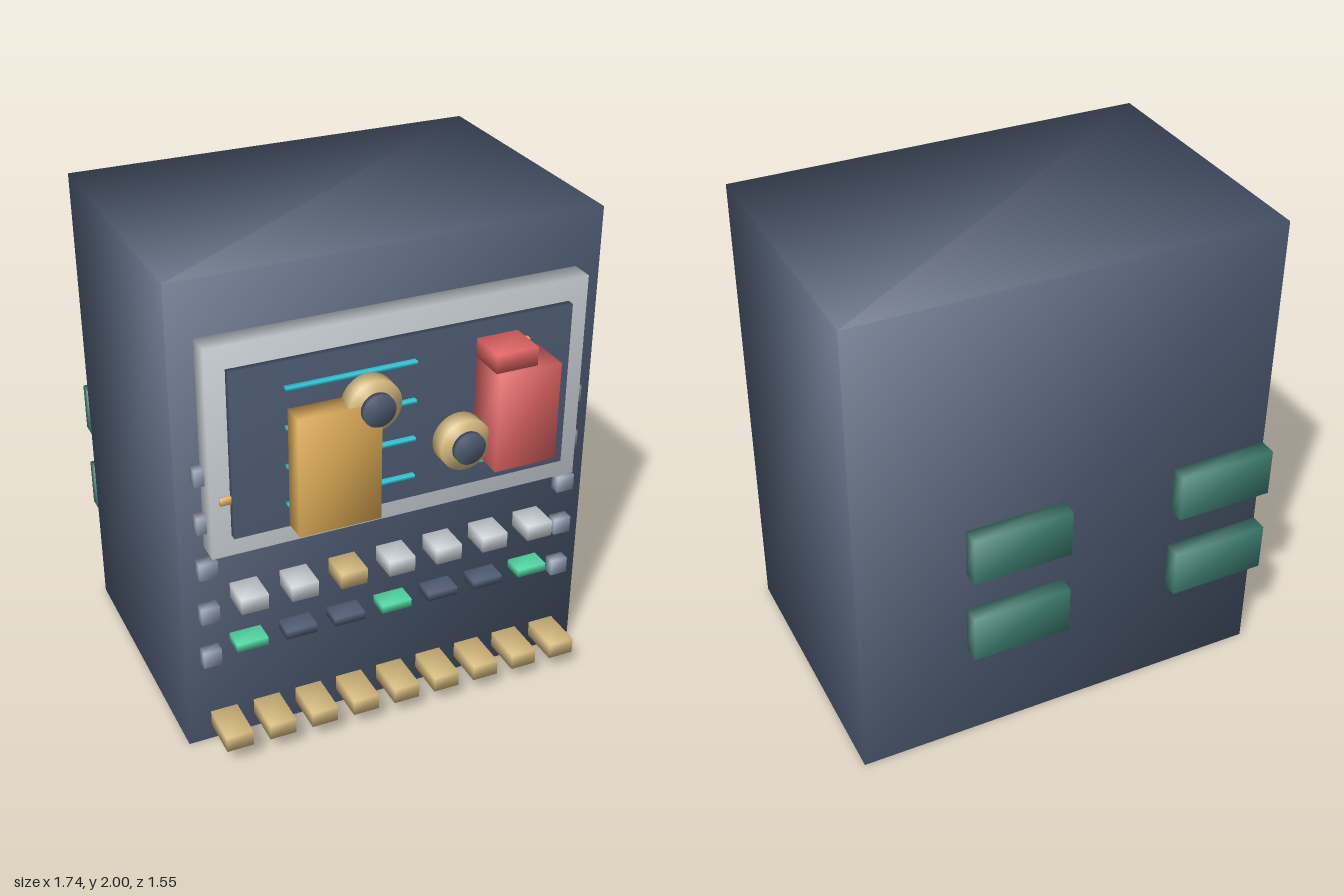
import * as THREE from 'three';
import { mergeVertices } from 'three/addons/utils/BufferGeometryUtils.js';

const mat = (name, color) => {
  const m = new THREE.MeshStandardMaterial({ color });
  m.name = name;
  return m;
};

// Share corners so shading flows softly across the edges
function soften(geometry) {
  geometry.deleteAttribute('normal');
  geometry.deleteAttribute('uv');
  const g = mergeVertices(geometry);
  g.computeVertexNormals();
  return g;
}

export function createModel() {
  const model = new THREE.Group();
  model.name = 'controlCabinet';

  const slate = mat('slate', 0x4f5d75);
  const silver = mat('silver', 0xced4da);
  const steel = mat('steel', 0x8d99ae);
  const gold = mat('gold', 0xe0ad57);
  const tan = mat('tan', 0xd8bc80);
  const red = mat('red', 0xe06464);
  const cyan = mat('cyan', 0x2ec4d6);
  const mint = mat('mint', 0x52d6a4);
  const teal = mat('teal', 0x3f8073);

  // Box given by its min and max on each axis
  function box(name, material, [x0, x1], [y0, y1], [z0, z1]) {
    const mesh = new THREE.Mesh(soften(new THREE.BoxGeometry(x1 - x0, y1 - y0, z1 - z0)), material);
    mesh.position.set((x0 + x1) / 2, (y0 + y1) / 2, (z0 + z1) / 2);
    mesh.name = name;
    model.add(mesh);
  }

  // Disc facing the front
  function disc(name, material, x, y, [z0, z1], radius) {
    const g = new THREE.CylinderGeometry(radius, radius, z1 - z0, 32).rotateX(Math.PI / 2);
    const mesh = new THREE.Mesh(soften(g), material);
    mesh.position.set(x, y, (z0 + z1) / 2);
    mesh.name = name;
    model.add(mesh);
  }

  // Cabinet, display frame and screen
  box('cabinet', slate, [-0.87, 0.87], [0, 2], [-0.705, 0.455]);
  box('displayFrame', silver, [-0.768, 0.765], [0.915, 1.775], [0.45, 0.55]);
  box('screen', slate, [-0.69, 0.685], [1.003, 1.685], [0.545, 0.58]);
  box('frameTab', gold, [-0.733, -0.64], [1.145, 1.175], [0.54, 0.565]);

  // Lines on the screen
  for (const y of [1.585, 1.425, 1.265, 1.105]) {
    box('screenLine', cyan, [-0.485, 0.03], [y - 0.007, y + 0.007], [0.578, 0.603]);
  }
  box('goldLine', gold, [0.3, 0.495], [1.578, 1.592], [0.578, 0.603]);
  box('mintLine', mint, [0.305, 0.49], [1.098, 1.112], [0.578, 0.603]);

  // Blocks standing in front of the screen
  box('goldBlock', gold, [-0.488, -0.163], [1.037, 1.52], [0.62, 0.715]);
  box('redBlock', red, [0.275, 0.53], [1.158, 1.56], [0.595, 0.775]);
  box('redCap', red, [0.27, 0.44], [1.56, 1.635], [0.6, 0.755]);

  // Round knobs with dark hubs
  for (const [x, y] of [[-0.188, 1.505], [0.183, 1.262]]) {
    disc('knob', tan, x, y, [0.64, 0.71], 0.104);
    disc('knobHub', slate, x, y, [0.722, 0.745], 0.064);
  }

  // Two rows of seven: buttons above, indicator lamps below
  for (let i = 0; i < 7; i++) {
    const x = (i - 3) * 0.205 - 0.003;
    box('button', i === 2 ? tan : silver, [x - 0.055, x + 0.055], [0.658, 0.725], [0.45, 0.582]);
    box('lamp', i % 3 === 0 ? mint : slate, [x - 0.064, x + 0.064], [0.456, 0.492], [0.45, 0.542]);
  }

  // Keys along the bottom
  for (let i = 0; i < 9; i++) {
    const x = (i - 4) * 0.18 - 0.003;
    box('key', tan, [x - 0.055, x + 0.055], [0.08, 0.147], [0.47, 0.648]);
  }

  // Studs down both sides of the front
  for (const side of [-1, 1]) {
    for (let i = 0; i < 5; i++) {
      const x = side * 0.769, y = 0.425 + i * 0.204;
      box('stud', steel, [x - 0.037, x + 0.037], [y - 0.035, y + 0.035], [0.455, 0.503]);
    }
  }

  // Panels on the back
  for (const x of [-0.87, 0.015]) {
    for (const y of [0.438, 0.817]) {
      box('backPanel', teal, [x, x + 0.408], [y, y + 0.203], [-0.775, -0.7]);
    }
  }

  return model;
}
